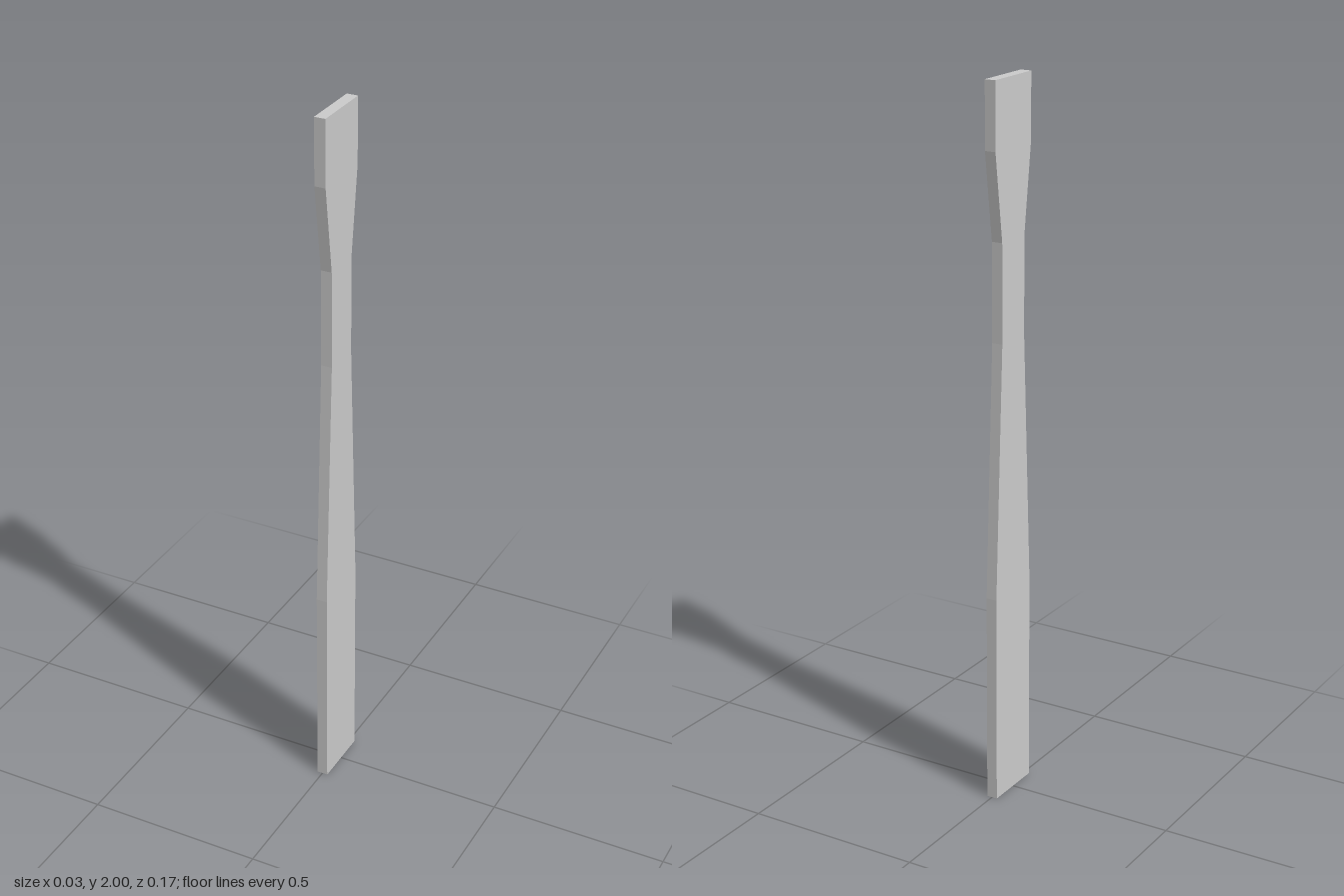
import * as THREE from 'three';

// Half width of the board at each height, from bottom to top
const PROFILE = [[0.087, 0], [0.087, 0.6], [0.055, 1.31], [0.055, 1.58], [0.087, 1.82], [0.087, 2]];
const THICKNESS = 0.031;

export function createModel() {
  const group = new THREE.Group();
  group.name = 'balusterBoard';

  // Mirrored outline: up one edge, down the other
  const right = PROFILE.map(([w, y]) => new THREE.Vector2(w, y));
  const left = PROFILE.map(([w, y]) => new THREE.Vector2(-w, y)).reverse();
  const shape = new THREE.Shape([...right, ...left]);

  // Flat board, turned so its broad faces look along x
  const geometry = new THREE.ExtrudeGeometry(shape, { depth: THICKNESS, bevelEnabled: false });
  geometry.translate(0, 0, -THICKNESS / 2);
  geometry.rotateY(Math.PI / 2);

  const material = new THREE.MeshStandardMaterial({ color: 0xcccccc, flatShading: true });
  const board = new THREE.Mesh(geometry, material);
  board.name = 'board';
  group.add(board);
  return group;
}
